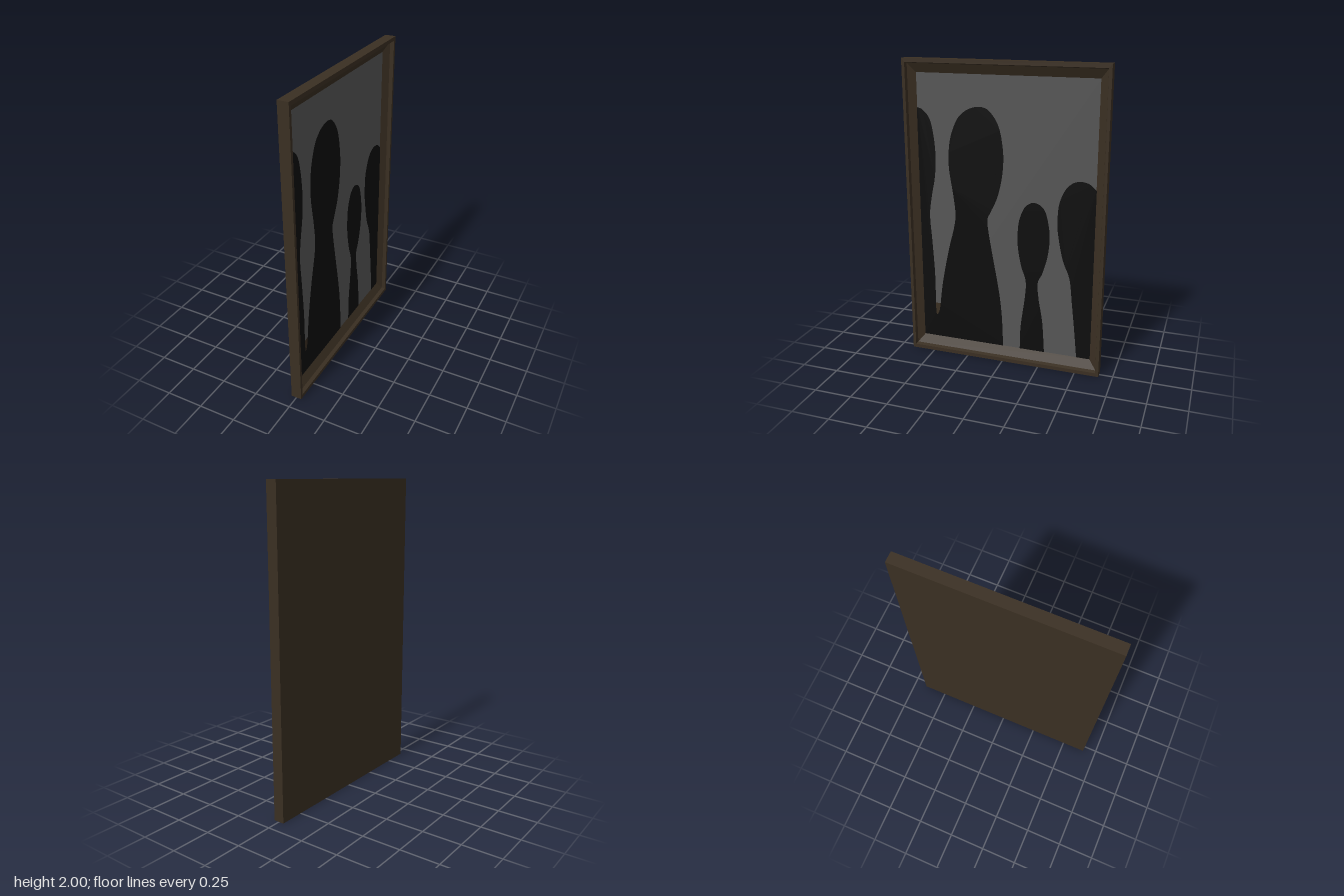
import * as THREE from 'three';

const mat = (name, color) => {
  const m = new THREE.MeshStandardMaterial({ color });
  m.name = name;
  return m;
};

// Half width, height; the picture is drawn facing +z and turned to +x at the end
const W = 0.66, H = 2, PANEL = -0.02;

// Moulding: rectangular loops [inset, depth] joined by flat mitred faces
function mouldingGeometry(profile) {
  const loops = profile.map(([i, d]) => [
    [-W + i, i * 1.25, d], [W - i, i * 1.25, d], [W - i, H - i * 1.25, d], [-W + i, H - i * 1.25, d],
  ]);
  const pos = [];
  for (let k = 0; k + 1 < loops.length; k++) {
    for (let s = 0; s < 4; s++) {
      const a = loops[k][s], b = loops[k][(s + 1) % 4];
      const c = loops[k + 1][(s + 1) % 4], d = loops[k + 1][s];
      pos.push(...a, ...b, ...c, ...a, ...c, ...d);
    }
  }
  const g = new THREE.BufferGeometry();
  g.setAttribute('position', new THREE.Float32BufferAttribute(pos, 3));
  g.computeVertexNormals();
  return g;
}

// Smooth outline through [x, y] points, closed along the picture edge by corners
function silhouette(points, corners = []) {
  const v = points.map(([x, y]) => new THREE.Vector2(x, y));
  const s = new THREE.Shape();
  s.moveTo(v[0].x, v[0].y);
  s.splineThru(v.slice(1));
  corners.forEach(([x, y]) => s.lineTo(x, y));
  s.closePath();
  return new THREE.ShapeGeometry(s, 60);
}

export function createModel() {
  const brown = mat('dark wood', 0x3a2f22);
  const grey = mat('grey canvas', 0x565656);
  const black = mat('black paint', 0x0d0d0d);

  const model = new THREE.Group();
  model.name = 'framedPicture';
  const face = new THREE.Group();
  face.name = 'pictureAndFrame';
  face.rotation.y = Math.PI / 2;
  model.add(face);

  const add = (name, geometry, material, z = 0) => {
    const mesh = new THREE.Mesh(geometry, material);
    mesh.name = name;
    mesh.position.z = z;
    face.add(mesh);
    return mesh;
  };

  // Frame: outer sides, flat rim, small step and sloping inner border
  add('frame', mouldingGeometry([
    [0, -0.035], [0, 0.035], [0.02, 0.035], [0.025, 0.01], [0.072, PANEL],
  ]), brown);

  // Back board
  const back = add('backBoard', new THREE.BoxGeometry(2 * W, H, 0.008), brown, -0.031);
  back.position.y = H / 2;

  // Canvas
  const canvas = add('canvas', new THREE.PlaneGeometry(1.18, 1.82), grey, PANEL);
  canvas.position.y = 1;

  // Painted figures
  const B = 0.09, E = 0.59;
  const figures = {
    leftEdgeFigure: silhouette([
      [-E, 1.69], [-0.55, 1.675], [-0.505, 1.62], [-0.48, 1.51], [-0.47, 1.37], [-0.48, 1.236],
      [-0.507, 1.1], [-0.523, 0.97], [-0.512, 0.785], [-0.5, 0.546], [-0.5, 0.28], [-0.485, 0.26],
    ], [[-0.485, B], [-E, B]]),
    tallFigure: silhouette([
      [-0.485, 0.26], [-0.47, 0.31], [-0.443, 0.504], [-0.395, 0.737], [-0.353, 0.9], [-0.34, 1],
      [-0.353, 1.13], [-0.377, 1.29], [-0.379, 1.395], [-0.363, 1.51], [-0.32, 1.62], [-0.268, 1.676],
      [-0.215, 1.703], [-0.162, 1.711], [-0.114, 1.698], [-0.072, 1.655], [-0.04, 1.597], [-0.019, 1.512],
      [-0.008, 1.395], [-0.019, 1.263], [-0.05, 1.135], [-0.093, 1.04], [-0.117, 0.981], [-0.109, 0.891],
      [-0.082, 0.732], [-0.04, 0.493], [-0.019, 0.308], [-0.01, B],
    ], [[-0.485, B]]),
    smallFigure: silhouette([
      [0.109, B], [0.114, 0.255], [0.141, 0.467], [0.146, 0.584], [0.114, 0.69], [0.093, 0.8],
      [0.088, 0.891], [0.098, 0.997], [0.13, 1.082], [0.167, 1.117], [0.2, 1.125], [0.241, 1.109],
      [0.273, 1.066], [0.294, 0.98], [0.302, 0.891], [0.289, 0.769], [0.257, 0.653], [0.228, 0.584],
      [0.236, 0.467], [0.263, 0.308], [0.279, B],
    ]),
    rightEdgeFigure: silhouette([
      [0.499, B], [0.48, 0.281], [0.459, 0.467], [0.438, 0.637], [0.39, 0.764], [0.358, 0.918],
      [0.35, 1.013], [0.358, 1.13], [0.395, 1.225], [0.443, 1.273], [0.496, 1.286], [0.549, 1.273], [E, 1.236],
    ], [[E, B]]),
  };
  for (const [name, geometry] of Object.entries(figures)) add(name, geometry, black, PANEL + 0.002);

  // Bare wood at the foot of the gap between the two left figures
  const gap = add('bareGap', new THREE.PlaneGeometry(0.04, 0.09), brown, PANEL + 0.001);
  gap.position.set(-0.485, 0.295, PANEL + 0.001);

  return model;
}
